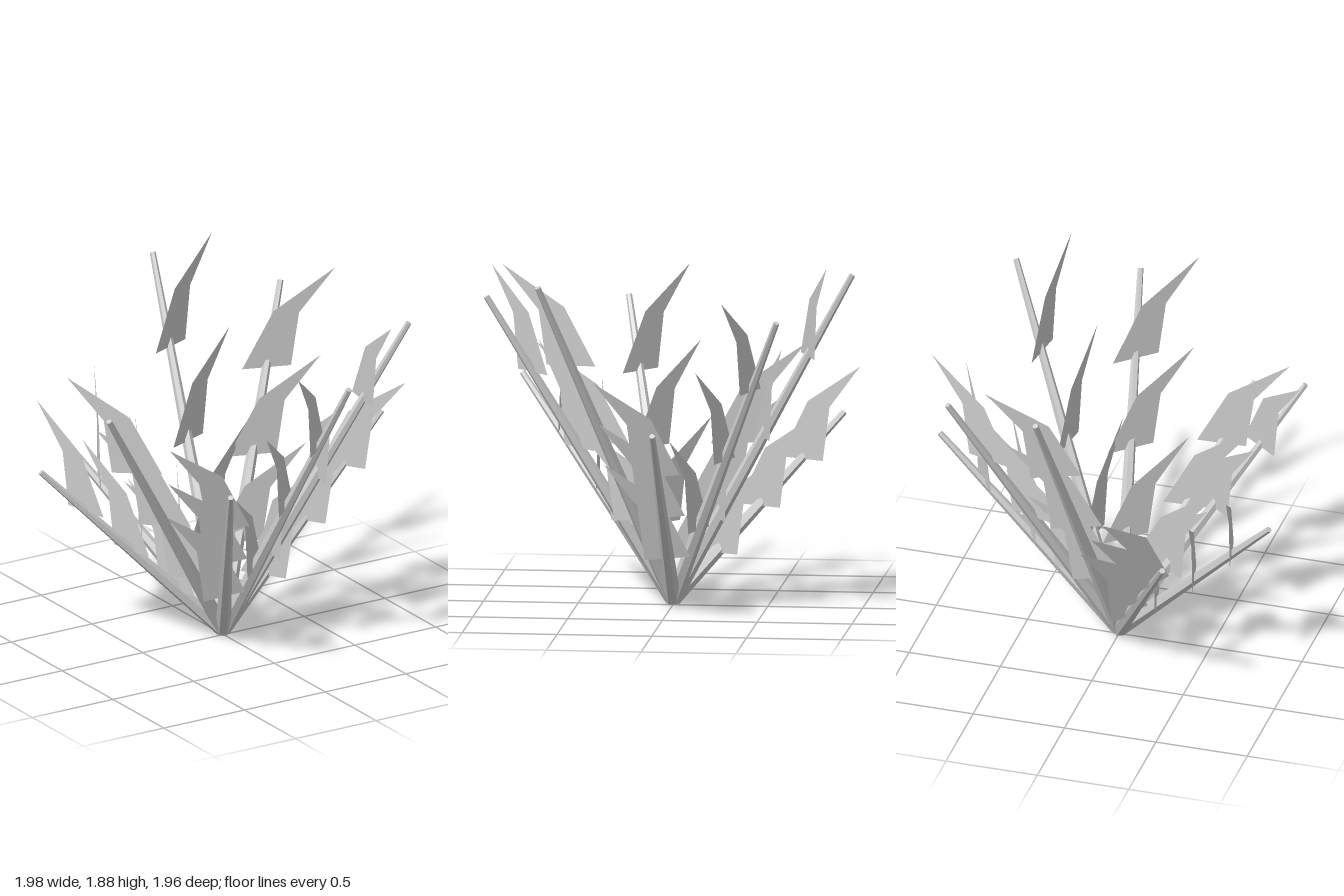
import * as THREE from 'three';

const STEM_REACH = 0.98;
const LEAF_TURN = THREE.MathUtils.degToRad(58); // leaf heading relative to its stem
const BASE = new THREE.Vector3(-0.003, 0.03, 0);
// Tip height of each stem, going round from +x towards +z
const STEM_HEIGHTS = [1.06, 1.8, 1.65, 1.14, 1.49, 0.99, 0.96, 1.8, 1.635];

export function createModel() {
  const plant = new THREE.Group();
  plant.name = 'plant';
  const stemMaterial = new THREE.MeshStandardMaterial({ color: 0xcccccc, flatShading: true });
  const leafMaterial = new THREE.MeshStandardMaterial({ color: 0xcccccc, side: THREE.DoubleSide });

  // Flat leaf blade with a square foot and a point swept to one side
  const leafGeometry = new THREE.ShapeGeometry(new THREE.Shape([
    new THREE.Vector2(-0.13, 0),
    new THREE.Vector2(0.135, 0),
    new THREE.Vector2(0.178, 0.29),
    new THREE.Vector2(0.373, 0.525),
    new THREE.Vector2(0.04, 0.31),
  ]));

  const up = new THREE.Vector3(0, 1, 0);
  STEM_HEIGHTS.forEach((height, i) => {
    const angle = (i / STEM_HEIGHTS.length) * Math.PI * 2;
    const tip = new THREE.Vector3(Math.cos(angle) * STEM_REACH, height, Math.sin(angle) * STEM_REACH);
    const branch = new THREE.Group();
    branch.name = 'branch';

    // Tapered stem leaning outward
    const along = tip.clone().sub(BASE);
    const stem = new THREE.Mesh(new THREE.CylinderGeometry(0.016, 0.042, along.length(), 6), stemMaterial);
    stem.name = 'stem';
    stem.position.copy(BASE).addScaledVector(along, 0.5);
    stem.quaternion.setFromUnitVectors(up, along.normalize());
    branch.add(stem);

    // Three upright leaves at even steps along the stem
    for (const t of [0.25, 0.5, 0.75]) {
      const leaf = new THREE.Mesh(leafGeometry, leafMaterial);
      leaf.name = 'leaf';
      leaf.position.lerpVectors(BASE, tip, t);
      leaf.rotation.y = -(angle + LEAF_TURN);
      branch.add(leaf);
    }
    plant.add(branch);
  });
  return plant;
}
